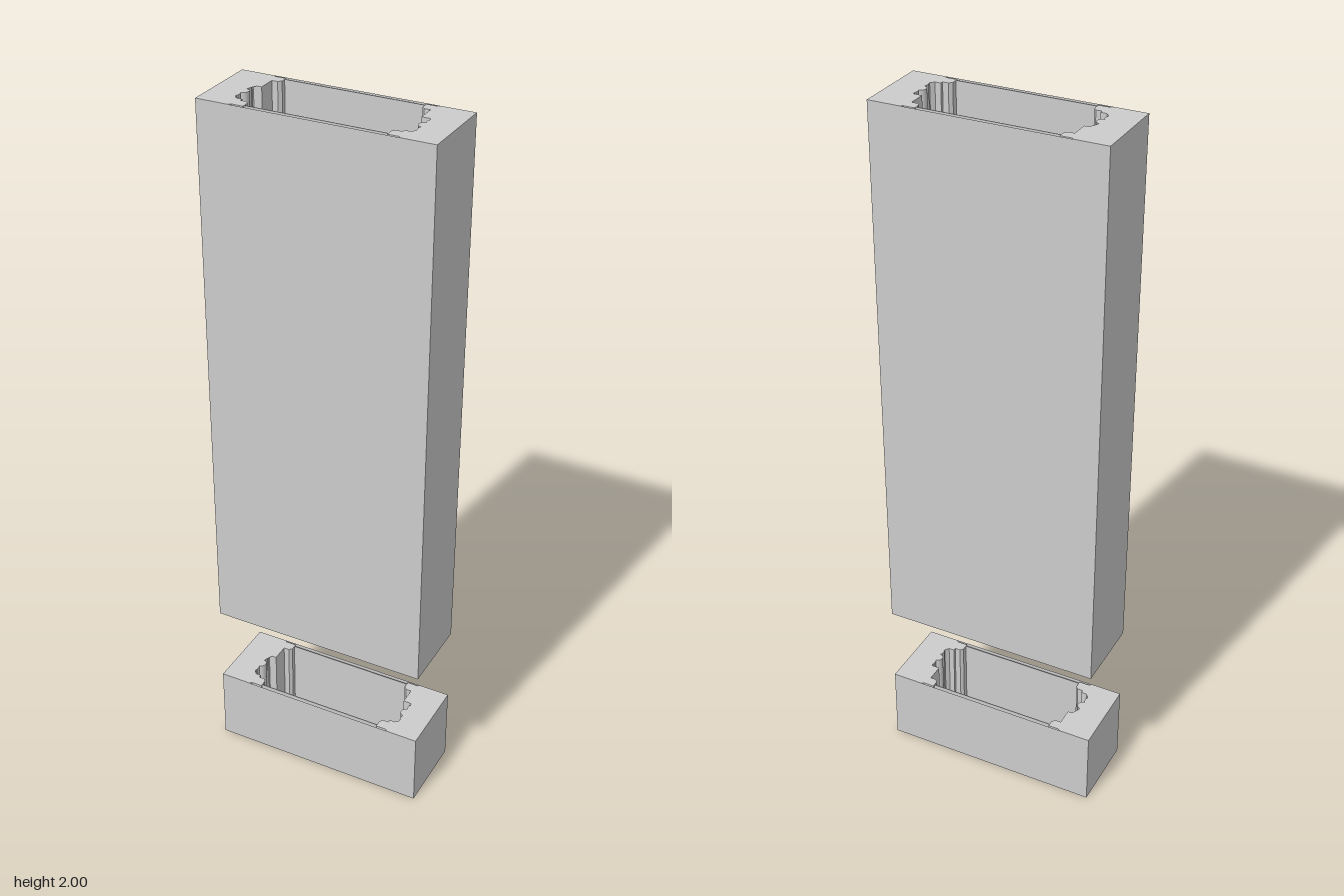
import * as THREE from 'three';

const solid = new THREE.MeshStandardMaterial({ color: 0xcccccc, flatShading: true });
const sheet = new THREE.MeshStandardMaterial({ color: 0xcccccc, side: THREE.DoubleSide });

// Plan outlines [x, z] of the parts at the -x end
const POST = [
  [-0.315, -0.111], [-0.225, -0.111], [-0.219, -0.106], [-0.188, -0.106],
  [-0.188, -0.085], [-0.196, -0.077], [-0.212, -0.077], [-0.212, -0.053],
  [-0.272, 0.015], [-0.228, 0.065], [-0.212, 0.065], [-0.212, 0.074],
  [-0.196, 0.074], [-0.188, 0.082], [-0.188, 0.105], [-0.219, 0.105],
  [-0.225, 0.111], [-0.315, 0.111],
];
const INSERT = [
  [-0.212, -0.053], [-0.212, -0.027], [-0.237, -0.027], [-0.237, -0.019],
  [-0.235, -0.017], [-0.235, -0.004], [-0.238, 0], [-0.238, 0.03],
  [-0.235, 0.034], [-0.235, 0.047], [-0.237, 0.049], [-0.237, 0.055],
  [-0.272, 0.015],
];

// Upright prism from a plan outline, mirrored in x when side is +1
function prism(name, outline, side, height) {
  const shape = new THREE.Shape(outline.map(([x, z]) => new THREE.Vector2(-side * x, -z)));
  const geometry = new THREE.ExtrudeGeometry(shape, { depth: height, bevelEnabled: false });
  geometry.rotateX(-Math.PI / 2);
  const mesh = new THREE.Mesh(geometry, solid);
  mesh.name = name;
  return mesh;
}

function section(name, bottom, top) {
  const group = new THREE.Group();
  group.name = name;
  group.position.y = bottom;
  const height = top - bottom;

  // End posts with a V-groove insert and round rod
  for (const side of [-1, 1]) {
    const end = side < 0 ? 'right' : 'left';
    group.add(prism(end + 'Post', POST, side, height));
    group.add(prism(end + 'Insert', INSERT, side, height));
    const rod = new THREE.Mesh(
      new THREE.CylinderGeometry(0.015, 0.015, height, 24),
      new THREE.MeshStandardMaterial({ color: 0xcccccc })
    );
    rod.name = end + 'Rod';
    rod.position.set(side * 0.239, height / 2, 0.015);
    group.add(rod);
  }

  // Flush outer skin and thin inner panel on front and back
  for (const face of [1, -1]) {
    const which = face > 0 ? 'front' : 'back';
    const skin = new THREE.Mesh(new THREE.PlaneGeometry(0.45, height), sheet);
    skin.name = which + 'Skin';
    skin.position.set(0, height / 2, face * 0.111);
    if (face < 0) skin.rotation.y = Math.PI;
    const panel = new THREE.Mesh(new THREE.BoxGeometry(0.378, height, 0.002), solid);
    panel.name = which + 'InnerPanel';
    panel.position.set(0, height / 2, face * 0.099);
    group.add(skin, panel);
  }
  return group;
}

export function createModel() {
  const model = new THREE.Group();
  model.name = 'hollowPanel';
  model.add(section('lowerSection', 0, 0.222), section('upperSection', 0.45, 2));
  return model;
}
